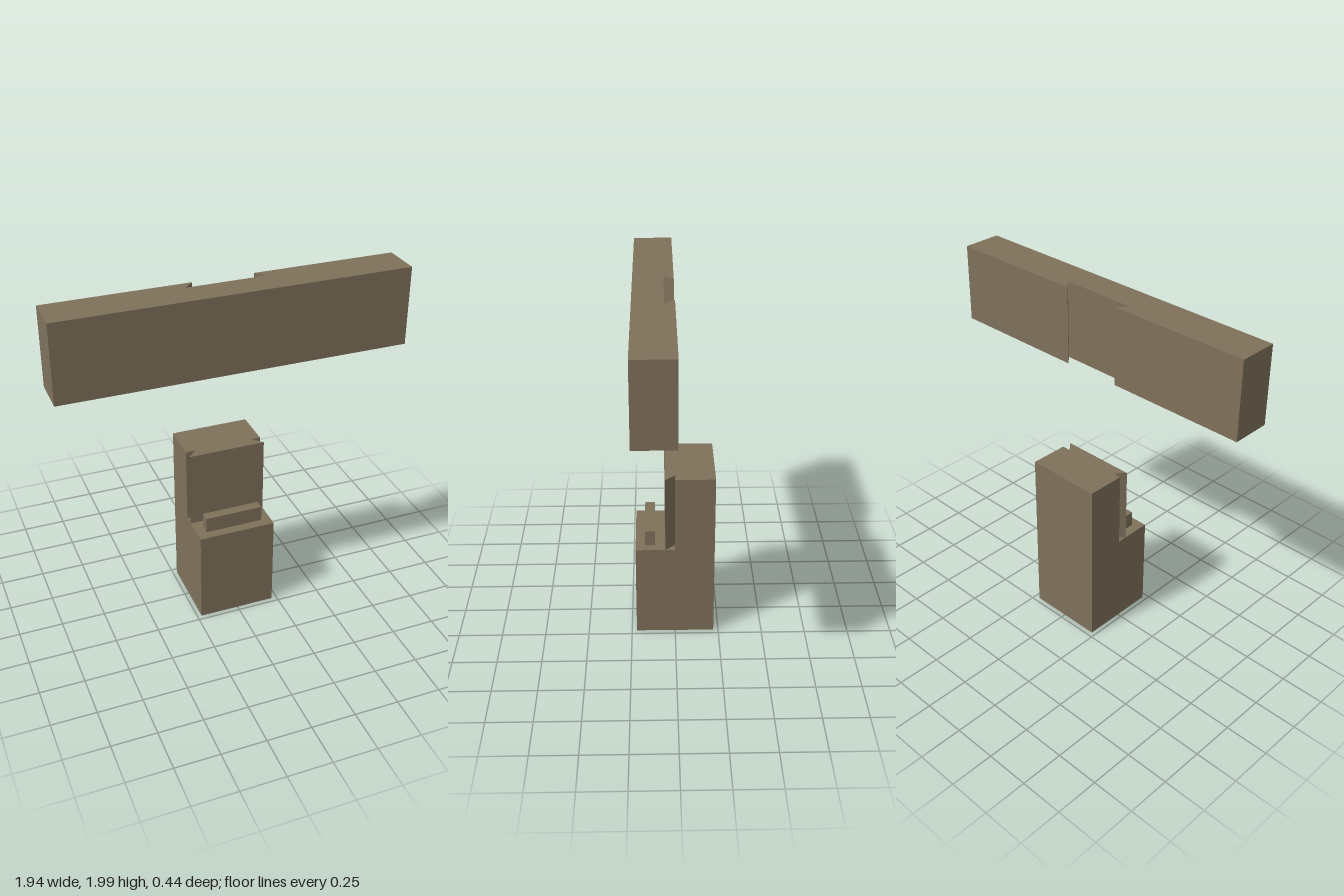
import * as THREE from 'three';
import { mergeGeometries } from 'three/addons/utils/BufferGeometryUtils.js';

const CX = -0.003;                 // shared centre line of post and beam
const HALF = 0.222;                // half the post width
const NECK = 0.17, FLARE = 0.055;  // dovetail neck half-width, and depth
const SEAT = 0.556;                // height of the post's ledge
const BEAM = { half: 0.971, bottom: 1.556, top: 2 };
const TENON = { half: 0.167, z0: 0.112, z1: 0.168, height: 0.09 };

const v2 = (pts) => pts.map(([x, z]) => new THREE.Vector2(x, -z));

// Vertical walls along a closed plan outline; anticlockwise outlines face outward
function walls(pts, y0, y1) {
  const pos = [];
  pts.forEach((a, i) => {
    const b = pts[(i + 1) % pts.length];
    pos.push(a.x, a.y, y0, b.x, b.y, y0, b.x, b.y, y1);
    pos.push(a.x, a.y, y0, b.x, b.y, y1, a.x, a.y, y1);
  });
  const g = new THREE.BufferGeometry();
  g.setAttribute('position', new THREE.Float32BufferAttribute(pos, 3));
  return g;
}

// Horizontal face over a plan shape, facing up or down
function cap(shape, y, down = false) {
  const g = new THREE.ShapeGeometry(shape);
  if (down) g.setIndex([...g.index.array].reverse());
  const flat = g.toNonIndexed().translate(0, 0, y);
  flat.deleteAttribute('uv');
  flat.deleteAttribute('normal');
  return flat;
}

export function createModel() {
  const wood = new THREE.MeshStandardMaterial({ color: 0x7f715b });
  wood.name = 'wood';
  const model = new THREE.Group();
  model.name = 'dovetailJoint';
  const post = new THREE.Group();
  post.name = 'post';
  model.add(post);

  const add = (parent, name, geometry) => {
    const mesh = new THREE.Mesh(geometry, wood);
    mesh.name = name;
    parent.add(mesh);
    return mesh;
  };

  // Post body: stepped side profile run across the width
  const profile = new THREE.Shape(v2([
    [-HALF, -0.008], [HALF, -0.008], [HALF, -SEAT], [0, -SEAT], [0, -1], [-HALF, -1],
  ]));
  const body = new THREE.ExtrudeGeometry(profile, { depth: HALF * 2, bevelEnabled: false });
  body.rotateY(-Math.PI / 2).translate(CX + HALF, 0, 0);
  add(post, 'postBody', body);

  // Dovetail key standing on the ledge against the post
  const key = new THREE.Shape(v2([
    [CX - NECK, 0], [CX - HALF, FLARE], [CX + HALF, FLARE], [CX + NECK, 0],
  ]));
  const keyGeo = new THREE.ExtrudeGeometry(key, { depth: 1 - SEAT, bevelEnabled: false });
  add(post, 'dovetailKey', keyGeo.rotateX(-Math.PI / 2).translate(0, SEAT, 0));

  // Stub tenon on the ledge
  const tenon = new THREE.BoxGeometry(TENON.half * 2, TENON.height, TENON.z1 - TENON.z0);
  tenon.translate(CX, SEAT + TENON.height / 2, (TENON.z0 + TENON.z1) / 2);
  add(post, 'tenon', tenon);

  // Beam: dovetail socket through the back, blind mortise in the underside
  const outline = v2([
    [CX - BEAM.half, HALF], [CX + BEAM.half, HALF], [CX + BEAM.half, 0],
    [CX + NECK, 0], [CX + HALF, FLARE], [CX - HALF, FLARE], [CX - NECK, 0],
    [CX - BEAM.half, 0],
  ]);
  const mortise = v2([
    [CX - TENON.half, TENON.z0], [CX + TENON.half, TENON.z0],
    [CX + TENON.half, TENON.z1], [CX - TENON.half, TENON.z1],
  ]);
  const underside = new THREE.Shape(outline);
  underside.holes.push(new THREE.Path(mortise));
  const roof = BEAM.bottom + TENON.height;
  const beam = mergeGeometries([
    walls(outline, BEAM.bottom, BEAM.top),
    walls(mortise, BEAM.bottom, roof),
    cap(new THREE.Shape(outline), BEAM.top),
    cap(underside, BEAM.bottom, true),
    cap(new THREE.Shape(mortise), roof, true),
  ]);
  beam.rotateX(-Math.PI / 2);
  beam.computeVertexNormals();
  add(model, 'beam', beam);

  return model;
}
